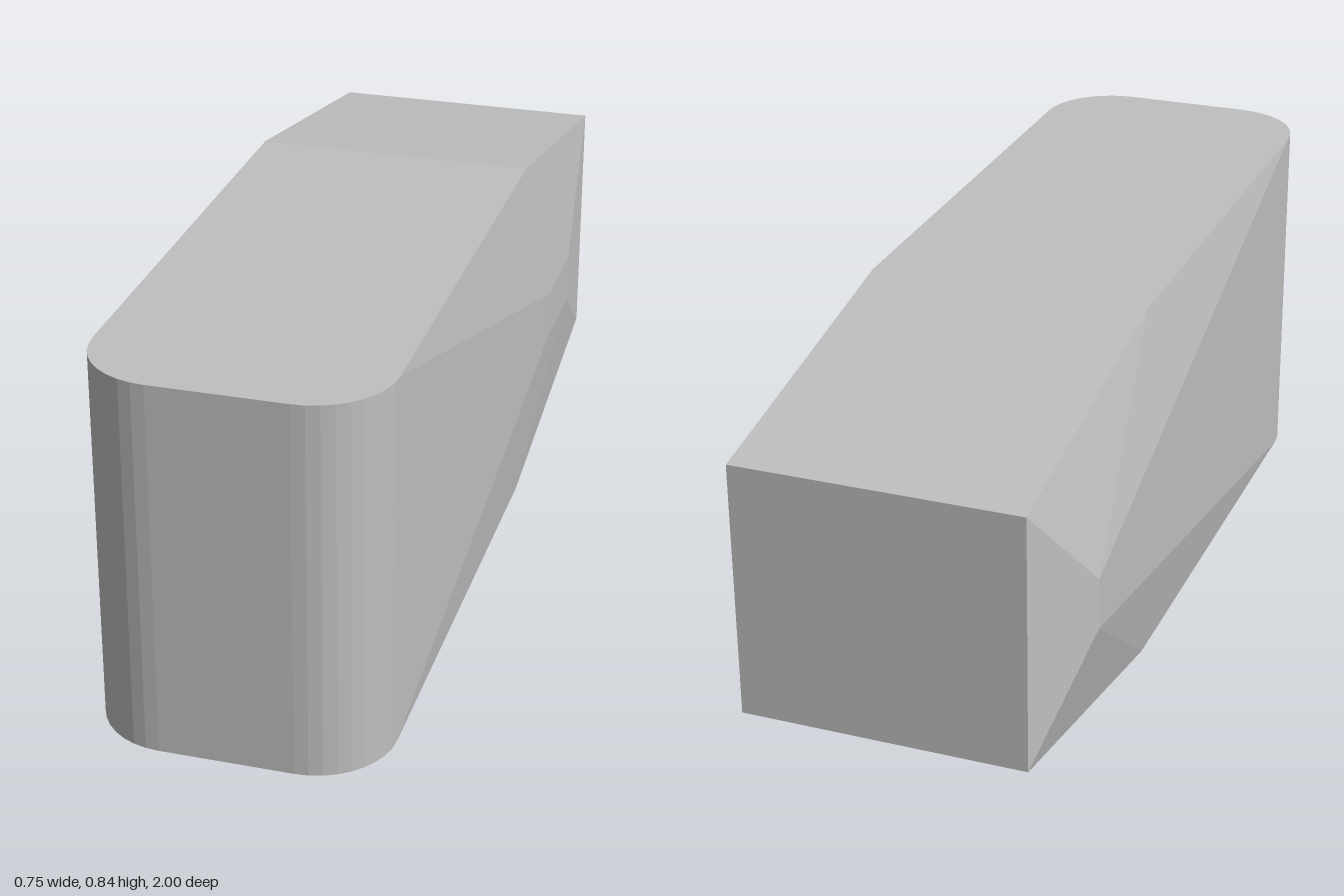
import * as THREE from 'three';
import { ConvexGeometry } from 'three/addons/geometries/ConvexGeometry.js';

const LEFT = 0.33, RIGHT = -0.30, HEIGHT = 0.84, RADIUS = 0.17, STEPS = 9;

export function createModel() {
  const grey = new THREE.MeshStandardMaterial({ color: 0xbfbfbf });
  grey.name = 'plain grey';
  const points = [];
  // adds the same plan point at a lower and an upper height
  const pair = (x, z, low, high) => {
    points.push(new THREE.Vector3(x, low, z), new THREE.Vector3(x, high, z));
  };

  for (const [x, dir] of [[LEFT, 1], [RIGHT, -1]]) {
    // rounded vertical front corner
    for (let i = 0; i <= STEPS; i++) {
      const a = (i / STEPS) * Math.PI / 2;
      pair(x - dir * RADIUS * (1 - Math.cos(a)), 1 - RADIUS * (1 - Math.sin(a)), 0, HEIGHT);
    }
    pair(x, -0.28, 0, HEIGHT); // start of the rear taper
    pair(x, -1, 0.135, 0.71);  // rear face
  }

  // side bulges: a small flat on the left, a short upright ridge on the right
  pair(0.372, -0.40, 0.363, 0.477);
  pair(0.372, -0.62, 0.363, 0.477);
  pair(-0.374, -0.79, 0.363, 0.477);

  const body = new THREE.Mesh(new ConvexGeometry(points), grey);
  body.name = 'body';
  const model = new THREE.Group();
  model.name = 'taperedBlock';
  model.add(body);
  return model;
}
